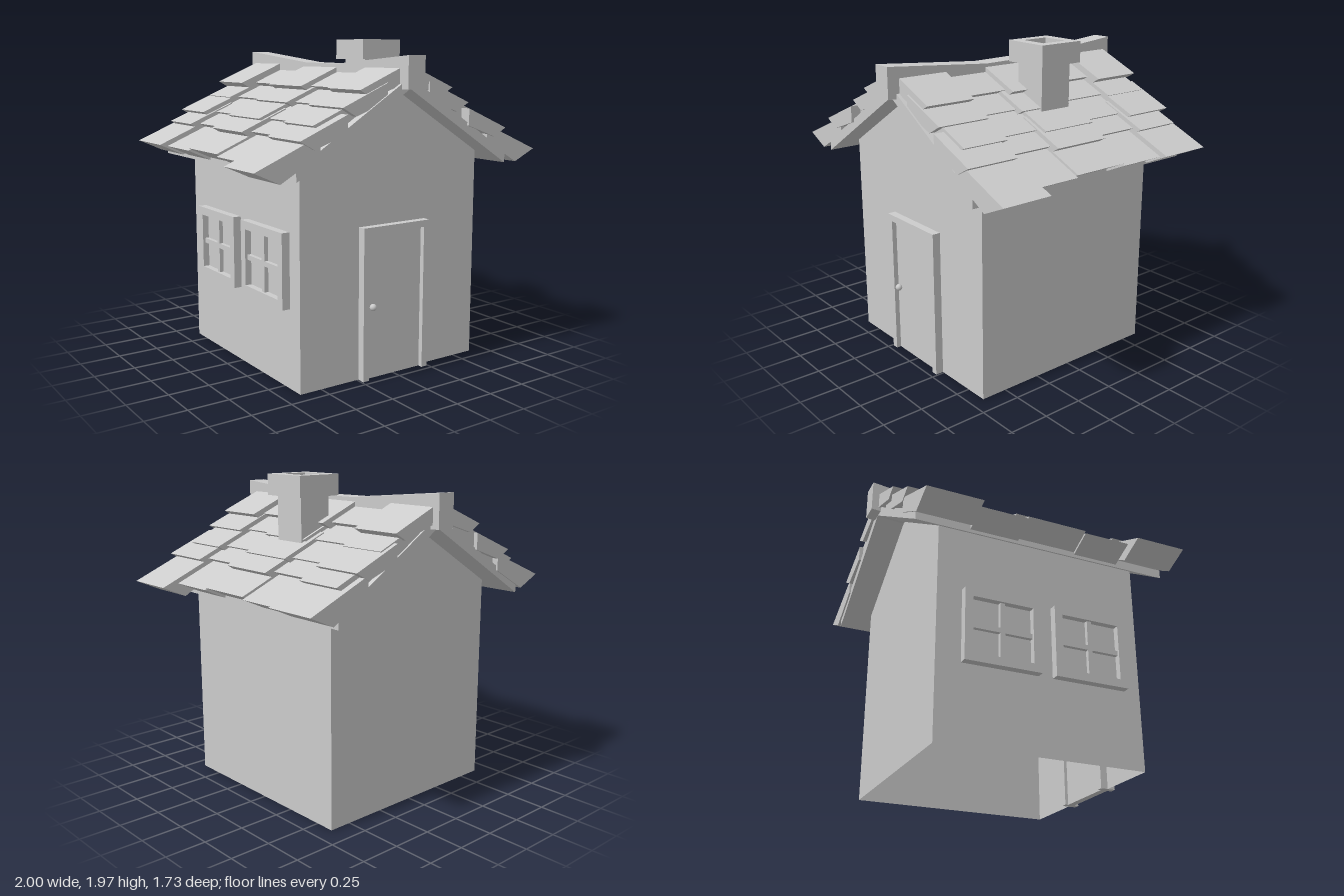
import * as THREE from 'three';

const mat = new THREE.MeshStandardMaterial({ color: 0xcccccc, flatShading: true });
const matTwoSided = new THREE.MeshStandardMaterial({ color: 0xcccccc, flatShading: true, side: THREE.DoubleSide });

function add(parent, name, geometry, material = mat) {
  const mesh = new THREE.Mesh(geometry, material);
  mesh.name = name;
  parent.add(mesh);
  return mesh;
}

function group(parent, name) {
  const g = new THREE.Group();
  g.name = name;
  parent.add(g);
  return g;
}

// Box given by its limits on each axis
function box(parent, name, x0, x1, y0, y1, z0, z1) {
  const mesh = add(parent, name, new THREE.BoxGeometry(x1 - x0, y1 - y0, z1 - z0));
  mesh.position.set((x0 + x1) / 2, (y0 + y1) / 2, (z0 + z1) / 2);
  return mesh;
}

const shapeOf = (points) => new THREE.Shape(points.map(([x, y]) => new THREE.Vector2(x, y)));

// Prism with its section in x-y, running from z0 to z1
function prism(points, z0, z1) {
  return new THREE.ExtrudeGeometry(shapeOf(points), { depth: z1 - z0, bevelEnabled: false }).translate(0, 0, z0);
}

const SLOPE = 0.62, APEX = 1.69, HALF = 0.64, FRONT = 0.665, BACK = -0.62;

function addWalls(house) {
  const walls = group(house, 'walls');
  const eave = APEX - SLOPE * HALF;
  const gable = shapeOf([[-HALF, 0], [HALF, 0], [HALF, eave], [0, APEX], [-HALF, eave]]);
  add(walls, 'frontWall', new THREE.ShapeGeometry(gable), matTwoSided).position.z = FRONT;
  const back = add(walls, 'backWall', new THREE.ShapeGeometry(gable), matTwoSided);
  back.position.z = BACK;
  back.rotation.y = Math.PI;
  for (const s of [-1, 1]) {
    const side = add(walls, 'sideWall', new THREE.PlaneGeometry(FRONT - BACK, eave), matTwoSided);
    side.position.set(s * HALF, eave / 2, (FRONT + BACK) / 2);
    side.rotation.y = s * Math.PI / 2;
  }
}

function addDoor(house) {
  const door = group(house, 'door');
  for (const s of [-1, 1]) box(door, 'doorPost', s * 0.22 - 0.02, s * 0.22 + 0.02, 0, 0.87, 0.62, 0.715);
  box(door, 'doorLintel', -0.24, 0.24, 0.87, 0.91, 0.62, 0.715);
  box(door, 'doorPanel', -0.2, 0.2, 0, 0.87, 0.64, 0.685);
  add(door, 'doorKnob', new THREE.SphereGeometry(0.021, 14, 10), new THREE.MeshStandardMaterial({ color: 0xcccccc }))
    .position.set(-0.165, 0.435, 0.705);
}

function addWindow(house, z0, z1) {
  const win = group(house, 'window');
  const y0 = 0.47, y1 = 0.91, b = 0.05, out = -0.69, inside = -0.58;
  const zc = (z0 + z1) / 2, yc = (y0 + y1) / 2;
  box(win, 'frameBottom', out, inside, y0, y0 + b, z0, z1);
  box(win, 'frameTop', out, inside, y1 - b, y1, z0, z1);
  box(win, 'frameBackSide', out, inside, y0 + b, y1 - b, z0, z0 + b);
  box(win, 'frameFrontSide', out, inside, y0 + b, y1 - b, z1 - b, z1);
  box(win, 'pane', -0.65, inside, y0 + b, y1 - b, z0 + b, z1 - b);
  box(win, 'uprightBar', -0.675, -0.645, y0 + b, y1 - b, zc - 0.015, zc + 0.015);
  box(win, 'crossBar', -0.675, -0.645, yc - 0.015, yc + 0.015, z0 + b, z1 - b);
}

// Each row: tip height, undercut of the thick end, length, and shingles [z0, z1, tip x, drop]
const ROWS = [
  { y: 1.295, cut: [0.155, 0.07], len: 0.4, tiles: [[0.49, 0.81, 1.0, 0], [0.2, 0.49, 0.895, -0.015], [-0.17, 0.2, 0.895, -0.03], [-0.47, -0.17, 0.895, -0.015], [-0.81, -0.47, 0.945, -0.025]] },
  { y: 1.44, cut: [0.09, 0.05], len: 0.3, tiles: [[0.49, 0.825, 0.735, 0], [0.2, 0.49, 0.67, 0], [-0.17, 0.2, 0.735, 0], [-0.47, -0.17, 0.67, 0], [-0.77, -0.47, 0.735, 0]] },
  { y: 1.51, cut: [0.09, 0.05], len: 0.3, tiles: [[0.46, 0.76, 0.615, 0], [0.18, 0.46, 0.55, 0], [-0.19, 0.18, 0.61, 0], [-0.49, -0.19, 0.55, 0], [-0.815, -0.49, 0.635, 0]] },
  { y: 1.6, cut: [0.09, 0.05], len: 0.3, tiles: [[0.46, 0.8, 0.45, 0], [0.21, 0.46, 0.38, 0], [-0.16, 0.21, 0.44, 0], [-0.49, -0.16, 0.38, 0], [-0.79, -0.49, 0.44, 0]] },
  { y: 1.69, cut: [0.08, 0.045], len: 0.3, tiles: [[0.47, 0.79, 0.33, 0], [0.18, 0.47, 0.25, 0], [-0.19, 0.18, 0.32, 0], [-0.49, -0.19, 0.25, 0], [-0.815, -0.49, 0.35, 0]] },
];

function addRoof(house) {
  const roof = group(house, 'roof');
  // Chevron slab under the shingles
  const e = 0.75, t = 0.065, low = APEX - SLOPE * e;
  add(roof, 'roofSlab', prism([[-e, low], [0, APEX], [e, low], [e, low + t], [0, APEX + t], [-e, low + t]], -0.8, 0.81));

  // Wedge-shaped shingles, lifted at the tips and mirrored on both slopes
  const shingles = group(roof, 'shingles');
  for (const { y, cut, len, tiles } of ROWS) {
    for (const [z0, z1, x, drop] of tiles) {
      const tipY = y - drop;
      const inner = Math.max(x - len, 0);
      const innerY = tipY + 0.42 * (x - inner);
      for (const s of [-1, 1]) {
        add(shingles, 'shingle', prism([
          [s * x, tipY],
          [s * inner, innerY],
          [s * inner, innerY - 0.1],
          [s * (x - cut[0]), tipY - cut[1]],
        ], z0, z1));
      }
    }
  }

  // Sagging ridge beam
  const beam = prism([
    [-0.865, 1.69], [0, 1.66], [0.86, 1.69], [0.86, 1.89],
    [0.17, 1.825], [-0.17, 1.82], [-0.865, 1.875],
  ], -0.06, 0.06);
  add(roof, 'ridgeBeam', beam.rotateY(Math.PI / 2));
}

function addChimney(house) {
  const chimney = group(house, 'chimney');
  box(chimney, 'chimneyShaft', 0.235, 0.445, 1.46, 1.85, -0.145, 0.07);
  const square = (r) => [[-r, -r], [r, -r], [r, r], [-r, r]];
  const ring = shapeOf(square(0.148));
  ring.holes.push(shapeOf(square(0.085)));
  const cap = new THREE.ExtrudeGeometry(ring, { depth: 0.125, bevelEnabled: false }).rotateX(-Math.PI / 2);
  add(chimney, 'chimneyCap', cap).position.set(0.34, 1.845, -0.04);
}

export function createModel() {
  const house = new THREE.Group();
  house.name = 'house';
  addWalls(house);
  addDoor(house);
  addWindow(house, -0.47, 0);
  addWindow(house, 0.09, 0.56);
  addRoof(house);
  addChimney(house);
  return house;
}
